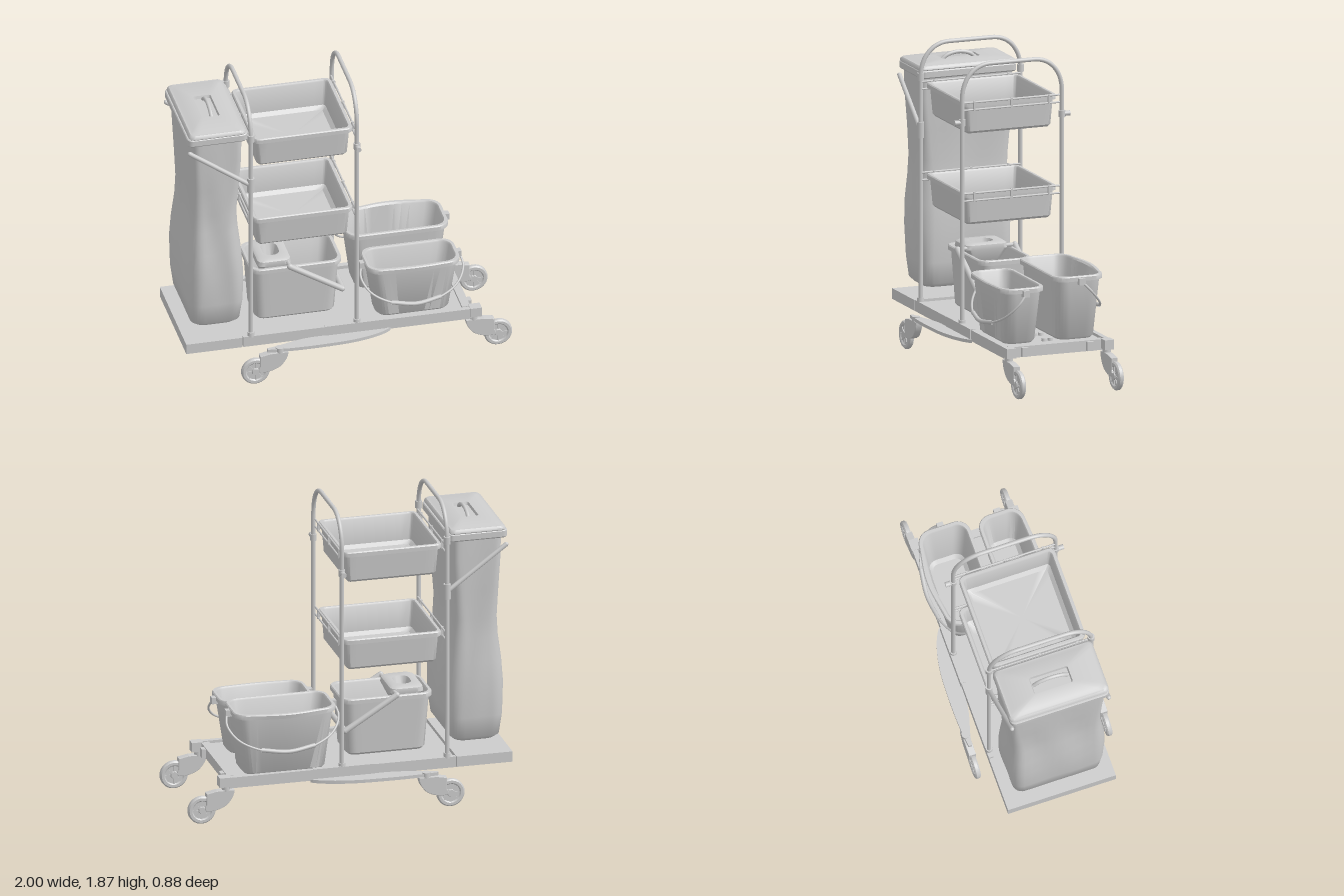
import * as THREE from 'three';
import { toCreasedNormals } from 'three/addons/utils/BufferGeometryUtils.js';

const grey = new THREE.MeshStandardMaterial({ color: 0xcccccc, side: THREE.DoubleSide });
const V = (x, y, z) => new THREE.Vector3(x, y, z);

function add(parent, name, geometry, x = 0, y = 0, z = 0) {
  const mesh = new THREE.Mesh(geometry, grey);
  mesh.name = name;
  mesh.position.set(x, y, z);
  parent.add(mesh);
  return mesh;
}

// Box given by its lower and upper corners
function box(parent, name, x0, x1, y0, y1, z0, z1) {
  return add(parent, name, new THREE.BoxGeometry(x1 - x0, y1 - y0, z1 - z0),
    (x0 + x1) / 2, (y0 + y1) / 2, (z0 + z1) / 2);
}

function rod(parent, name, a, b, r) {
  return add(parent, name, new THREE.TubeGeometry(new THREE.LineCurve3(a, b), 1, r, 10, false)) &&
    [a, b].forEach(p => add(parent, name + 'End', new THREE.SphereGeometry(r, 10, 8), p.x, p.y, p.z));
}

// Rounded-rectangle outline, four corners and subdivided straight sides
function outline(hx, hz, r) {
  const pts = [];
  for (let q = 0; q < 4; q++) {
    const corner = (k, t) => {
      const a = (k + t) * Math.PI / 2, m = (k + 0.5) * Math.PI / 2;
      return [Math.sign(Math.cos(m)) * (hx - r) + r * Math.cos(a), Math.sign(Math.sin(m)) * (hz - r) + r * Math.sin(a)];
    };
    for (let i = 0; i <= 6; i++) pts.push(corner(q, i / 6));
    const a = corner(q, 1), b = corner((q + 1) % 4, 0);
    for (let i = 1; i < 10; i++) pts.push([a[0] + (b[0] - a[0]) * i / 10, a[1] + (b[1] - a[1]) * i / 10]);
  }
  return pts;
}

// Skin over rounded rectangles [y, halfX, halfZ, radius]; warp may move each point
function loft(sections, cx = 0, cz = 0, warp = null, crease = 0.7) {
  const pos = [], idx = [];
  let n = 0;
  for (const [y, hx, hz, r] of sections) {
    const ring = outline(hx, hz, r);
    n = ring.length;
    for (const [x, z] of ring) {
      const p = V(x, y, z);
      if (warp) warp(p);
      pos.push(p.x + cx, p.y, p.z + cz);
    }
  }
  for (let s = 0; s < sections.length - 1; s++) {
    for (let i = 0; i < n; i++) {
      const a = s * n + i, b = s * n + (i + 1) % n;
      idx.push(a, a + n, b, b, a + n, b + n);
    }
  }
  const g = new THREE.BufferGeometry();
  g.setAttribute('position', new THREE.Float32BufferAttribute(pos, 3));
  g.setIndex(idx);
  return toCreasedNormals(g, crease);
}

// Open container: outer wall, folded rim, inner wall and floor
function vessel(y0, y1, bx, bz, tx, tz, r, rim, cx, cz, warp) {
  const t = 0.012, ri = r - t;
  return loft([
    [y0, 0, 0, 0], [y0, bx - 0.015, bz - 0.015, r - 0.015], [y0 + 0.015, bx, bz, r],
    [y1 - rim, tx - 0.016, tz - 0.016, r], [y1 - rim, tx, tz, r + 0.01], [y1 - 0.006, tx, tz, r + 0.01],
    [y1, tx - 0.006, tz - 0.006, r], [y1, tx - 0.02, tz - 0.02, r], [y1 - 0.01, tx - 0.028, tz - 0.028, ri],
    [y0 + 0.035, bx - t, bz - t, ri], [y0 + 0.015, bx - 0.035, bz - 0.035, ri * 0.6], [y0 + 0.015, 0, 0, 0],
  ], cx, cz, warp);
}

function buildBase(g) {
  box(g, 'bagPlatform', -1, -0.655, 0.215, 0.28, -0.34, 0.34);
  box(g, 'deck', -0.65, 0.72, 0.215, 0.265, -0.32, 0.32);
  box(g, 'endRail', 0.7, 0.75, 0.215, 0.28, -0.3, 0.3);
  for (const s of [-1, 1]) {
    box(g, 'sideRail', -0.65, 0.75, 0.215, 0.282, s * 0.325 - 0.015, s * 0.325 + 0.015);
    box(g, 'railSleeve', -0.15, 0.23, 0.213, 0.286, s * 0.327 - 0.017, s * 0.327 + 0.017);
    box(g, 'cornerSocket', 0.74, 0.81, 0.225, 0.285, s * 0.315 - 0.03, s * 0.315 + 0.03);
    box(g, 'endBlock', 0.745, 0.775, 0.22, 0.275, s * 0.21 - 0.022, s * 0.21 + 0.022);
    for (const x of [0.45, 0.6]) add(g, 'deckStud', new THREE.CylinderGeometry(0.015, 0.018, 0.02, 12), x, 0.272, s * 0.02);
    // Curved stabiliser blade that carries the wide-set caster
    const blade = new THREE.Shape();
    blade.moveTo(0.25, 0.34);
    blade.bezierCurveTo(0.2, 0.39, 0.05, 0.43, -0.1, 0.434);
    blade.bezierCurveTo(-0.25, 0.44, -0.38, 0.44, -0.52, 0.422);
    blade.lineTo(-0.52, 0.402);
    blade.bezierCurveTo(-0.4, 0.385, -0.35, 0.345, -0.22, 0.34);
    const bg = new THREE.ExtrudeGeometry(blade, { depth: 0.02, bevelEnabled: false, curveSegments: 12 });
    const m = add(g, 'stabiliserBlade', bg, 0, s > 0 ? 0.225 : 0.205, 0);
    m.rotation.x = s * Math.PI / 2;
    caster(g, -0.595, s * 0.415, 1);
    caster(g, 0.915, s * 0.315, -1);
  }
}

// Wheel with tyre, dished disc and a trailing hood; dir points to the swivel
function caster(parent, x, z, dir) {
  const g = new THREE.Group();
  g.name = 'caster';
  g.position.set(x, 0.088, z);
  g.scale.x = dir;
  const profile = [[0, -0.02], [0.02, -0.02], [0.024, -0.01], [0.055, -0.01], [0.062, -0.017], [0.078, -0.017], [0.086, -0.009],
    [0.086, 0.009], [0.078, 0.017], [0.062, 0.017], [0.055, 0.01], [0.024, 0.01], [0.02, 0.02], [0, 0.02]];
  const wheel = new THREE.LatheGeometry(profile.map(p => new THREE.Vector2(...p)), 32);
  add(g, 'wheel', toCreasedNormals(wheel, 0.6)).rotation.x = Math.PI / 2;
  for (let i = 0; i < 8; i++) {
    const spoke = box(g, 'spoke', 0.02, 0.058, -0.003, 0.003, -0.014, 0.014);
    const a = i * Math.PI / 4;
    spoke.position.set(0.039 * Math.cos(a), 0.039 * Math.sin(a), 0);
    spoke.rotation.z = a;
  }
  const hood = new THREE.Shape();
  hood.moveTo(0.03, 0.1);
  hood.lineTo(0.09, 0.112);
  hood.lineTo(0.195, 0.112);
  hood.quadraticCurveTo(0.195, 0.07, 0.15, 0.025);
  hood.quadraticCurveTo(0.1, -0.01, 0.03, -0.005);
  hood.quadraticCurveTo(0.01, 0.0, 0.03, 0.03);
  const hg = new THREE.ExtrudeGeometry(hood, { depth: 0.036, bevelEnabled: true, bevelSize: 0.004, bevelThickness: 0.004, bevelSegments: 2 });
  add(g, 'casterHood', hg, 0, 0, -0.018);
  add(g, 'swivel', new THREE.CylinderGeometry(0.025, 0.025, 0.035, 16), 0.15, 0.125, 0);
  parent.add(g);
}

// Upright tube bent over at the top
function hoop(g, x) {
  const path = new THREE.CurvePath();
  const zs = 0.322, top = 1.857, low = 1.65;
  path.add(new THREE.LineCurve3(V(x, 0.23, zs), V(x, low, zs)));
  path.add(new THREE.CubicBezierCurve3(V(x, low, zs), V(x, 1.77, zs), V(x, top, 0.25), V(x, top, 0.14)));
  path.add(new THREE.LineCurve3(V(x, top, 0.14), V(x, top, -0.14)));
  path.add(new THREE.CubicBezierCurve3(V(x, top, -0.14), V(x, top, -0.25), V(x, 1.77, -zs), V(x, low, -zs)));
  path.add(new THREE.LineCurve3(V(x, low, -zs), V(x, 0.23, -zs)));
  add(g, 'hoopFrame', new THREE.TubeGeometry(path, 150, 0.0135, 12, false));
  for (const s of [-1, 1]) add(g, 'postSocket', new THREE.CylinderGeometry(0.02, 0.022, 0.03, 14), x, 0.29, s * zs);
}

function tray(g, top) {
  add(g, 'tray', vessel(top - 0.2, top, 0.278, 0.275, 0.305, 0.302, 0.03, 0.03, -0.272, 0));
  for (const x of [-0.592, 0.042]) {
    for (const y of [top, top - 0.045]) rod(g, 'trayRail', V(x, y, -0.315), V(x, y, 0.315), 0.006);
    for (const z of [-0.24, 0, 0.24]) box(g, 'trayClip', x - 0.008, x + 0.008, top - 0.05, top + 0.008, z - 0.006, z + 0.006);
  }
}

function buildBag(g) {
  // Soft sack: half-widths change with height, with light creases
  const sack = [[0.345, 0, 0, 0], [0.345, 0.125, 0.25, 0.06], [0.37, 0.15, 0.275, 0.06], [0.5, 0.166, 0.292, 0.07],
    [0.7, 0.168, 0.3, 0.08], [0.85, 0.158, 0.297, 0.08], [1.0, 0.143, 0.285, 0.07], [1.12, 0.137, 0.282, 0.06],
    [1.3, 0.143, 0.29, 0.05], [1.5, 0.15, 0.298, 0.04], [1.65, 0.152, 0.3, 0.04]];
  add(g, 'sack', loft(sack, -0.797, 0, p => {
    const k = 0.006 * Math.sin(Math.PI * (p.y - 0.345) / 1.3);
    p.x += k * Math.sin(p.z * 22 + p.y * 5);
    p.z += k * Math.sin(p.x * 30 + p.y * 6);
  }, 1.1));
  add(g, 'bagHolder', loft([[1.632, 0, 0, 0], [1.632, 0.178, 0.305, 0.03], [1.64, 0.185, 0.312, 0.035],
    [1.675, 0.185, 0.312, 0.035], [1.68, 0.18, 0.307, 0.03], [1.68, 0, 0, 0]], -0.797, 0));
  add(g, 'lid', loft([[1.68, 0.17, 0.31, 0.03], [1.685, 0.175, 0.314, 0.035], [1.697, 0.172, 0.312, 0.035], [1.706, 0.162, 0.302, 0.03],
    [1.706, 0.15, 0.29, 0.03], [1.714, 0.135, 0.27, 0.03], [1.718, 0.054, 0.122, 0.012], [1.7, 0.05, 0.116, 0.01], [1.7, 0, 0, 0]], -0.797, 0));
  const grip = new THREE.CatmullRomCurve3([V(-0.79, 1.7, -0.11), V(-0.79, 1.728, -0.07), V(-0.79, 1.742, 0), V(-0.79, 1.728, 0.07), V(-0.79, 1.7, 0.11)]);
  add(g, 'lidHandle', new THREE.TubeGeometry(grip, 24, 0.012, 10, false));
  for (const s of [-1, 1]) {
    rod(g, 'bagArm', V(-0.97, 1.588, s * 0.305), V(-0.61, 1.335, s * 0.322), 0.014);
    add(g, 'armClamp', new THREE.CylinderGeometry(0.022, 0.022, 0.095, 14), -0.6, 1.33, s * 0.322);
    add(g, 'holderClamp', new THREE.CylinderGeometry(0.021, 0.021, 0.045, 14), -0.6, 1.655, s * 0.322);
    const post = add(g, 'postKnob', new THREE.CylinderGeometry(0.016, 0.016, 0.05, 12), 0.05, 1.51, s * 0.347);
    post.rotation.x = Math.PI / 2;
    add(g, 'postCollar', new THREE.CylinderGeometry(0.02, 0.02, 0.04, 14), 0.05, 1.51, s * 0.322);
  }
}

// Pail with a spout on the side given by s and a hanging bail handle
function pail(g, cx, cz, top, hx, hz, s, spout) {
  add(g, 'pail', vessel(0.268, top, hx - 0.06, hz - 0.035, hx, hz, 0.07, 0.03, cx, cz, p => {
    const k = Math.max(0, (p.y - 0.3) / (top - 0.3));
    if (p.z * s > 0) p.z += s * spout * k * k * Math.cos(Math.min(1, Math.abs(p.x) / hx) * Math.PI / 2) ** 2 * p.z * s / hz;
  }));
  const y = top - 0.03, pts = [[-1, 0, 0], [-1.04, 0.3, 0.3], [-0.88, 0.65, 0.65], [-0.5, 0.91, 0.91], [0, 1, 1],
    [0.5, 0.91, 0.91], [0.88, 0.65, 0.65], [1.04, 0.3, 0.3], [1, 0, 0]];
  const at = ([u, d, f]) => V(cx + u * (hx + 0.016), y - d * 0.21, cz + s * f * (hz + 0.035));
  add(g, 'bail', new THREE.TubeGeometry(new THREE.CatmullRomCurve3(pts.map(at)), 60, 0.007, 8, false));
  add(g, 'bailGrip', new THREE.TubeGeometry(new THREE.CatmullRomCurve3(pts.slice(3, 6).map(at)), 16, 0.013, 10, false));
  for (const u of [-1, 1]) box(g, 'bailEar', cx + u * (hx + 0.008) - 0.018, cx + u * (hx + 0.008) + 0.018, y - 0.02, y + 0.02, cz - 0.02, cz + 0.02);
}

// Mop bucket with a wringer seat and a U-shaped lever
function wringerBucket(g) {
  add(g, 'mopBucket', vessel(0.268, 0.635, 0.245, 0.14, 0.283, 0.172, 0.06, 0.03, -0.282, 0.01));
  add(g, 'wringer', loft([[0.56, 0.07, 0.1, 0.03], [0.635, 0.105, 0.14, 0.04], [0.662, 0.1, 0.135, 0.04], [0.672, 0.085, 0.12, 0.04],
    [0.67, 0.05, 0.07, 0.045], [0.6, 0.03, 0.04, 0.02], [0.6, 0, 0, 0]], -0.41, 0.01));
  for (const s of [-1, 1]) rod(g, 'wringerLever', V(-0.33, 0.645, 0.01 + s * 0.185), V(-0.01, 0.447, 0.01 + s * 0.185), 0.018);
  rod(g, 'leverBar', V(-0.01, 0.447, -0.175), V(-0.01, 0.447, 0.195), 0.018);
  rod(g, 'wringerAxle', V(-0.33, 0.645, -0.175), V(-0.33, 0.645, 0.195), 0.012);
}

export function createModel() {
  const g = new THREE.Group();
  g.name = 'cleaningTrolley';
  buildBase(g);
  hoop(g, -0.6);
  hoop(g, 0.05);
  tray(g, 1.625);
  tray(g, 1.07);
  buildBag(g);
  wringerBucket(g);
  pail(g, 0.39, -0.175, 0.665, 0.315, 0.16, -1, 0.04);
  pail(g, 0.41, 0.18, 0.618, 0.285, 0.14, 1, 0.015);
  return g;
}
